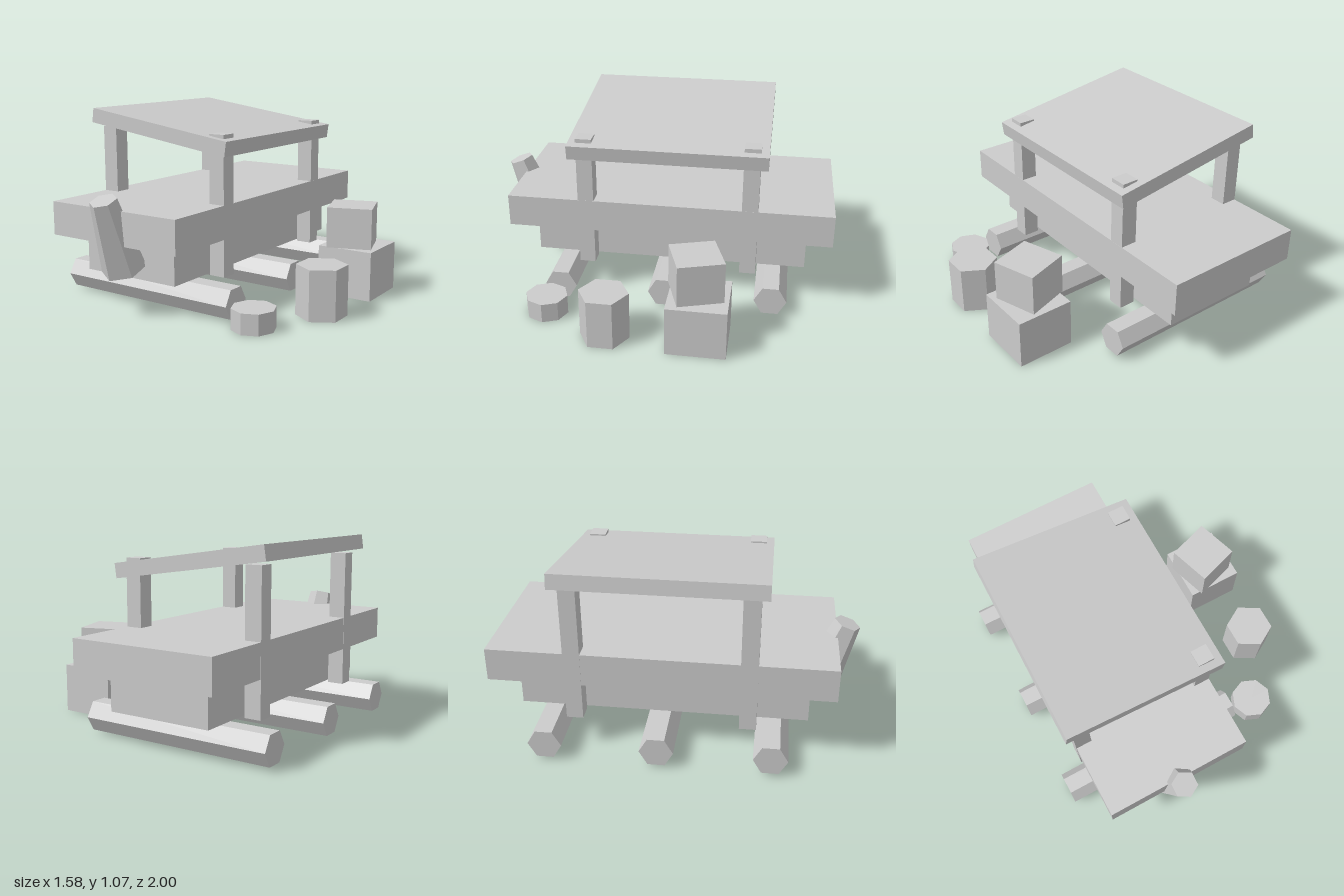
import * as THREE from 'three';

const material = new THREE.MeshStandardMaterial({ color: 0xcccccc, flatShading: true });

export function createModel() {
  const model = new THREE.Group();
  model.name = 'logCart';

  const add = (name, geometry, x, y, z) => {
    const mesh = new THREE.Mesh(geometry, material);
    mesh.name = name;
    mesh.position.set(x, y, z);
    model.add(mesh);
    return mesh;
  };
  // Box given by its limits on each axis
  const box = (name, [x0, x1], [y0, y1], [z0, z1]) =>
    add(name, new THREE.BoxGeometry(x1 - x0, y1 - y0, z1 - z0),
      (x0 + x1) / 2, (y0 + y1) / 2, (z0 + z1) / 2);

  // Body
  box('deck', [-0.65, 0.2], [0.4, 0.587], [-1, 0.88]);
  box('underbody', [-0.53, 0.08], [0.19, 0.4], [-0.856, 0.742]);

  // Corner posts; the left ones poke through the roof
  for (const x of [-0.605, 0.152]) {
    for (const z of [0.417, -0.528]) {
      box('post', [x - 0.047, x + 0.047], [0.19, 0.965], [z - 0.046, z + 0.046]);
    }
  }

  // Sloping roof
  const roof = add('roof', new THREE.BoxGeometry(0.944, 0.083, 1.125), -0.228, 0.962, -0.056);
  roof.rotation.z = -0.142;

  // Log rollers lying across the underside
  for (const z of [0.549, -0.061, -0.671]) {
    const log = add('logRoller', new THREE.CylinderGeometry(0.093, 0.093, 1.126, 6), -0.228, 0.097, z);
    log.rotation.z = Math.PI / 2;
  }

  // Tapered figurehead leaning forward at the front
  const prow = add('figurehead', new THREE.CylinderGeometry(0.075, 0.124, 0.419, 6), -0.227, 0.448, 0.859);
  prow.rotation.x = 0.35;

  // Loose cargo beside the cart
  box('largeCrate', [0.455, 0.785], [0, 0.283], [-0.46, -0.13]);
  const crate = add('smallCrate', new THREE.BoxGeometry(0.256, 0.234, 0.256), 0.595, 0.4, -0.274);
  crate.rotation.y = 0.315;
  add('barrel', new THREE.CylinderGeometry(0.14, 0.14, 0.282, 6), 0.665, 0.141, 0.218);
  add('tub', new THREE.CylinderGeometry(0.121, 0.121, 0.114, 8), 0.477, 0.057, 0.596);

  return model;
}
